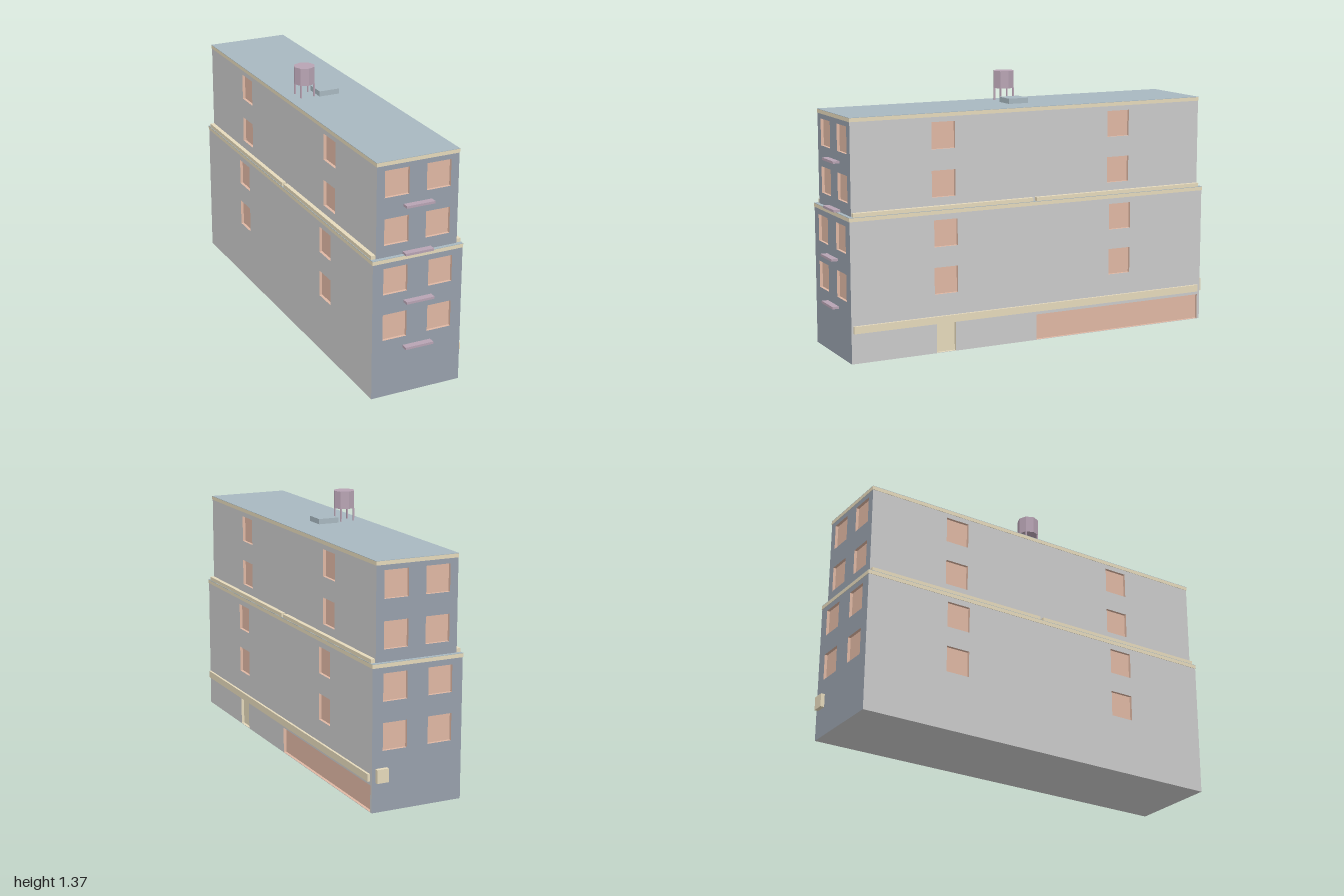
import * as THREE from 'three';

const mat = (color) => new THREE.MeshStandardMaterial({ color, flatShading: true });

export function createModel() {
  const root = new THREE.Group();
  const building = new THREE.Group();
  building.name = 'building';
  building.rotation.y = -0.504; // the block stands diagonally on its plot
  root.add(building);

  const sideGrey = mat(0xcccccc);
  const endGrey = mat(0x98a0ac);
  const roofBlue = mat(0xa8b8c0);
  const beige = mat(0xe6dabc);
  const pane = mat(0xe0b8a4);
  const mauve = mat(0xb8a4b4);

  const add = (parent, name, geometry, material, x = 0, y = 0, z = 0) => {
    const mesh = new THREE.Mesh(geometry, material);
    mesh.name = name;
    mesh.position.set(x, y, z);
    parent.add(mesh);
    return mesh;
  };
  // box given by its limits on each axis
  const box = (name, material, [x0, x1], [y0, y1], [z0, z1]) =>
    add(building, name, new THREE.BoxGeometry(x1 - x0, y1 - y0, z1 - z0), material,
      (x0 + x1) / 2, (y0 + y1) / 2, (z0 + z1) / 2);

  // inward-facing box without its front: pane plus the four reveals
  const DEPTH = 0.015;
  const recess = (w, h) => {
    const g = new THREE.BoxGeometry(w, h, DEPTH);
    const kept = Array.from(g.index.array).filter((_, i) => i < 24 || i >= 30);
    g.setIndex(kept.reverse());
    g.clearGroups();
    g.computeVertexNormals();
    return g;
  };

  // flat wall with openings, each opening backed by a recess
  const wall = (name, material, width, y0, y1, openings, distance, turn) => {
    const group = new THREE.Group();
    group.name = name;
    group.rotation.y = turn;
    group.position.set(Math.sin(turn) * distance, 0, Math.cos(turn) * distance);
    const rect = (path, x, a, b, w) => path.moveTo(x - w / 2, a).lineTo(x + w / 2, a)
      .lineTo(x + w / 2, b).lineTo(x - w / 2, b).closePath();
    const shape = rect(new THREE.Shape(), 0, y0, y1, width);
    for (const o of openings) {
      shape.holes.push(rect(new THREE.Path(), o.x, o.y0, o.y1, o.w));
      add(group, o.name, recess(o.w, o.y1 - o.y0), o.material,
        o.x, (o.y0 + o.y1) / 2, -DEPTH / 2);
    }
    add(group, name + 'Surface', new THREE.ShapeGeometry(shape), material);
    building.add(group);
  };

  const windows = (offset, rows) => rows.flatMap(([y0, y1]) =>
    [-offset, offset].map((x) => ({ name: 'window', x, y0, y1, w: 0.128, material: pane })));

  const shopOpenings = [
    { name: 'door', x: -0.502, y0: 0.002, y1: 0.152, w: 0.105, material: beige },
    { name: 'shopFront', x: 0.502, y0: 0.002, y1: 0.135, w: 0.985, material: pane },
  ];

  // two stacked storeys blocks: the upper one slightly smaller
  const blocks = [
    { name: 'lower', hw: 0.24, hl: 1.01, y0: 0, y1: 0.727, endX: 0.12,
      rows: [[0.302, 0.438], [0.542, 0.678]], extra: shopOpenings },
    { name: 'upper', hw: 0.216, hl: 0.993, y0: 0.727, y1: 1.208, endX: 0.11,
      rows: [[0.788, 0.922], [1.028, 1.163]], extra: [] },
  ];
  for (const { name, hw, hl, y0, y1, endX, rows, extra } of blocks) {
    const long = windows(0.5, rows);
    const short = windows(endX, rows);
    wall(name + 'FrontWall', endGrey, hw * 2, y0, y1, short, hl, 0);
    wall(name + 'BackWall', endGrey, hw * 2, y0, y1, short, hl, Math.PI);
    wall(name + 'StreetWall', sideGrey, hl * 2, y0, y1, [...long, ...extra], hw, Math.PI / 2);
    wall(name + 'RearWall', sideGrey, hl * 2, y0, y1, long, hw, -Math.PI / 2);
    // cornice and roof slab
    const e = 0.002;
    box(name + 'Cornice', beige, [-hw - e, hw + e], [y1 - 0.02, y1 - 0.001], [-hl - e, hl + e]);
    box(name + 'Roof', roofBlue, [-hw - e, hw + e], [y1 - 0.001, y1 + 0.001], [-hl - e, hl + e]);
  }
  add(building, 'base', new THREE.PlaneGeometry(0.48, 2.02), sideGrey).rotation.x = Math.PI / 2;

  // low parapets along the ledge, split in the middle
  for (const s of [-1, 1]) {
    for (const t of [-1, 1]) {
      add(building, 'ledgeParapet', new THREE.BoxGeometry(0.022, 0.02, 0.98), beige,
        s * 0.228, 0.737, t * 0.5);
    }
  }

  // sign band over the shop and a small box on the back wall
  box('signBand', beige, [0.238, 0.252], [0.153, 0.19], [-0.99, 1.0]);
  box('wallBox', beige, [0.16, 0.222], [0.15, 0.218], [-1.03, -1.009]);

  // slim ledges between the front windows
  [[0.25, 1.01], [0.491, 1.01], [0.735, 0.993], [0.976, 0.993]].forEach(([y, z]) =>
    box('frontLedge', mauve, [-0.075, 0.075], [y - 0.006, y + 0.006], [z - 0.002, z + 0.034]));

  // roof hatch
  box('roofHatch', roofBlue, [-0.055, 0.055], [1.207, 1.236], [-0.055, 0.055]);

  // water tank on four legs
  const tank = new THREE.Group();
  tank.name = 'waterTank';
  tank.position.set(-0.114, 1.208, 0);
  building.add(tank);
  add(tank, 'tankBody', new THREE.CylinderGeometry(0.055, 0.055, 0.09, 8), mauve, 0, 0.112, 0);
  for (const x of [-0.036, 0.036]) {
    for (const z of [-0.036, 0.036]) {
      add(tank, 'tankLeg', new THREE.BoxGeometry(0.007, 0.068, 0.007), mauve, x, 0.034, z);
    }
  }
  return root;
}
